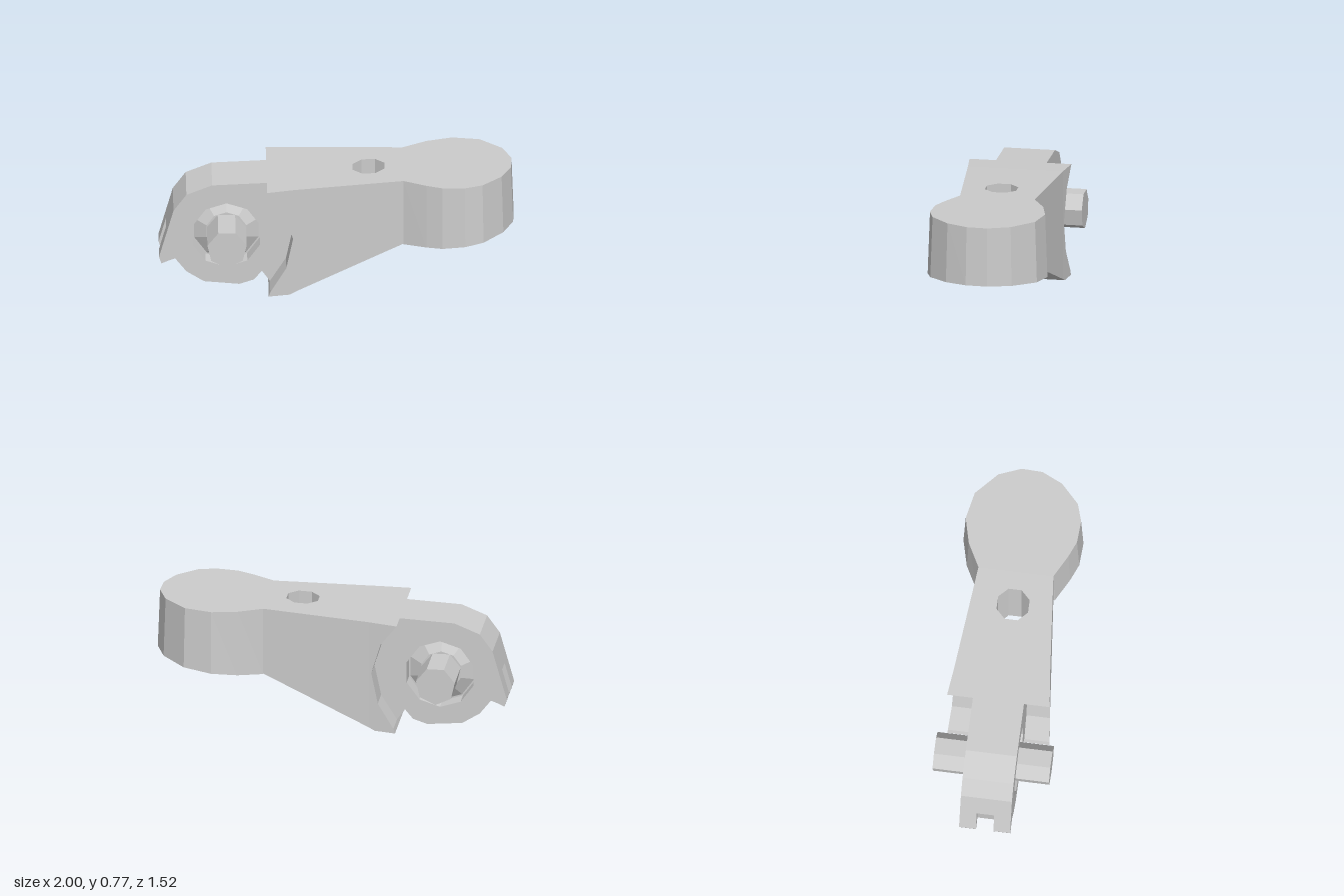
import * as THREE from 'three';

const material = new THREE.MeshStandardMaterial({ color: 0xcccccc, flatShading: true });
const PIVOT = [-0.68, 0.36];

function mesh(name, geometry) {
  const m = new THREE.Mesh(geometry, material);
  m.name = name;
  return m;
}

const toShape = (pts) => new THREE.Shape(pts.map(([a, b]) => new THREE.Vector2(a, b)));

function ring(cx, cy, r, n, phase = 0) {
  return Array.from({ length: n }, (_, i) => {
    const a = phase + (i / n) * Math.PI * 2;
    return [cx + r * Math.cos(a), cy + r * Math.sin(a)];
  });
}

// Side profile (length, height) extruded across the width from z0 to z1
function sidePlate(name, profile, z0, z1, hole) {
  const shape = toShape(profile);
  if (hole) shape.holes.push(new THREE.Path(toShape(hole).getPoints()));
  const g = new THREE.ExtrudeGeometry(shape, { depth: z1 - z0, bevelEnabled: false });
  g.translate(0, 0, z0);
  return mesh(name, g);
}

// Plan outline (length, width) raised between two sloping planes;
// t0..t1 is the share of the thickness that the layer fills
function planSlab(name, outline, bottom, top, { hole, t0 = 0, t1 = 1, draft = 0 } = {}) {
  const shape = toShape(outline);
  if (hole) shape.holes.push(new THREE.Path(toShape(hole).getPoints()));
  const g = new THREE.ExtrudeGeometry(shape, { depth: 1, bevelEnabled: false });
  g.rotateX(-Math.PI / 2);
  const p = g.attributes.position;
  for (let i = 0; i < p.count; i++) {
    const x = p.getX(i);
    const t = t0 + (t1 - t0) * p.getY(i);
    const y = THREE.MathUtils.lerp(bottom(x), top(x), t);
    const grow = draft * (1 - t);
    p.setXYZ(i, x > 0.75 ? x + grow * (x - 0.75) : x, y, p.getZ(i) * (1 + grow));
  }
  g.computeVertexNormals();
  return mesh(name, g);
}

const line = (x0, y0, x1, y1) => (x) => y0 + ((x - x0) * (y1 - y0)) / (x1 - x0);

export function createModel() {
  const lever = new THREE.Group();
  lever.name = 'lever';

  // Rounded head
  const head = [[0.42, 0.235], [0.42, -0.235], [0.56, -0.31], [0.66, -0.352], [0.8, -0.36],
    [0.91, -0.325], [1.03, -0.21], [1.09, -0.08], [1.095, 0.05], [1.04, 0.19],
    [0.9, 0.32], [0.73, 0.355], [0.57, 0.315]];
  lever.add(planSlab('head', head, line(0.42, 0.33, 1.1, 0.405), line(0.42, 0.765, 1.1, 0.78), { draft: 0.04 }));

  // Tapering arm: the lower layer has a keyhole slot, the upper one a plain hole
  const arm = [[-0.25, 0.3], [-0.25, -0.3], [0.42, -0.235], [0.42, 0.235]];
  const armBottom = line(-0.25, 0.035, 0.42, 0.33);
  const armTop = line(-0.25, 0.74, 0.42, 0.765);
  const round = ring(0.205, -0.01, 0.107, 8, Math.PI / 8);
  const keyhole = [...round.slice(0, 4), [-0.1, 0.035], [-0.16, 0], [-0.1, -0.045], ...round.slice(4)];
  lever.add(planSlab('armLower', arm, armBottom, armTop, { hole: keyhole, t1: 0.3 }));
  lever.add(planSlab('armUpper', arm, armBottom, armTop, { hole: round, t0: 0.3 }));

  // Shoulder with a concave face around the pivot, widening toward its edge
  const shoulder = sidePlate('shoulder', [[-0.42, 0.01], [-0.29, 0.015], [-0.25, 0.035], [-0.25, 0.74],
    [-0.43, 0.73], [-0.33, 0.6], [-0.268, 0.4], [-0.31, 0.2], [-0.41, 0.04]], -0.3, 0.3);
  const p = shoulder.geometry.attributes.position;
  for (let i = 0; i < p.count; i++) {
    p.setZ(i, p.getZ(i) * (1 + 0.4 * (-0.25 - p.getX(i))));
  }
  shoulder.geometry.computeVertexNormals();
  lever.add(shoulder);

  // Tongue: two outer plates with hooked tips and a shorter plate between them
  const under = [[-1.0, 0.2], [-0.93, 0.11], [-0.82, 0.04], [-0.6, 0.02], [-0.51, 0.05],
    [-0.46, 0.11], [-0.41, 0.04], [-0.25, 0.04], [-0.25, 0.73], [-0.43, 0.72], [-0.77, 0.705],
    [-0.93, 0.64], [-1.01, 0.53]];
  const hooked = [...under, [-1.1, 0.21], [-1.085, 0.165], [-1.04, 0.185]];
  const notched = [...under, [-1.055, 0.37], [-1.03, 0.35], [-1.02, 0.2]];
  const socket = ring(...PIVOT, 0.22, 10, Math.PI / 10);
  lever.add(sidePlate('tongueLeft', hooked, 0.055, 0.16, socket));
  lever.add(sidePlate('tongueMiddle', notched, -0.055, 0.055));
  lever.add(sidePlate('tongueRight', hooked, -0.16, -0.055, socket));

  // Pivot pin through both sockets, with a sloping collar at each root
  const pin = new THREE.CylinderGeometry(0.125, 0.125, 0.73, 7);
  pin.rotateX(Math.PI / 2).translate(...PIVOT, 0);
  lever.add(mesh('pivotPin', pin));
  for (const side of [1, -1]) {
    const collar = new THREE.CylinderGeometry(0.13, 0.21, 0.05, 10);
    collar.rotateX((side * Math.PI) / 2).translate(...PIVOT, side * 0.08);
    lever.add(mesh(side > 0 ? 'collarLeft' : 'collarRight', collar));
  }

  // The lever lies diagonally
  lever.rotation.y = THREE.MathUtils.degToRad(33);
  const model = new THREE.Group();
  model.name = 'hingedLever';
  model.add(lever);
  return model;
}
